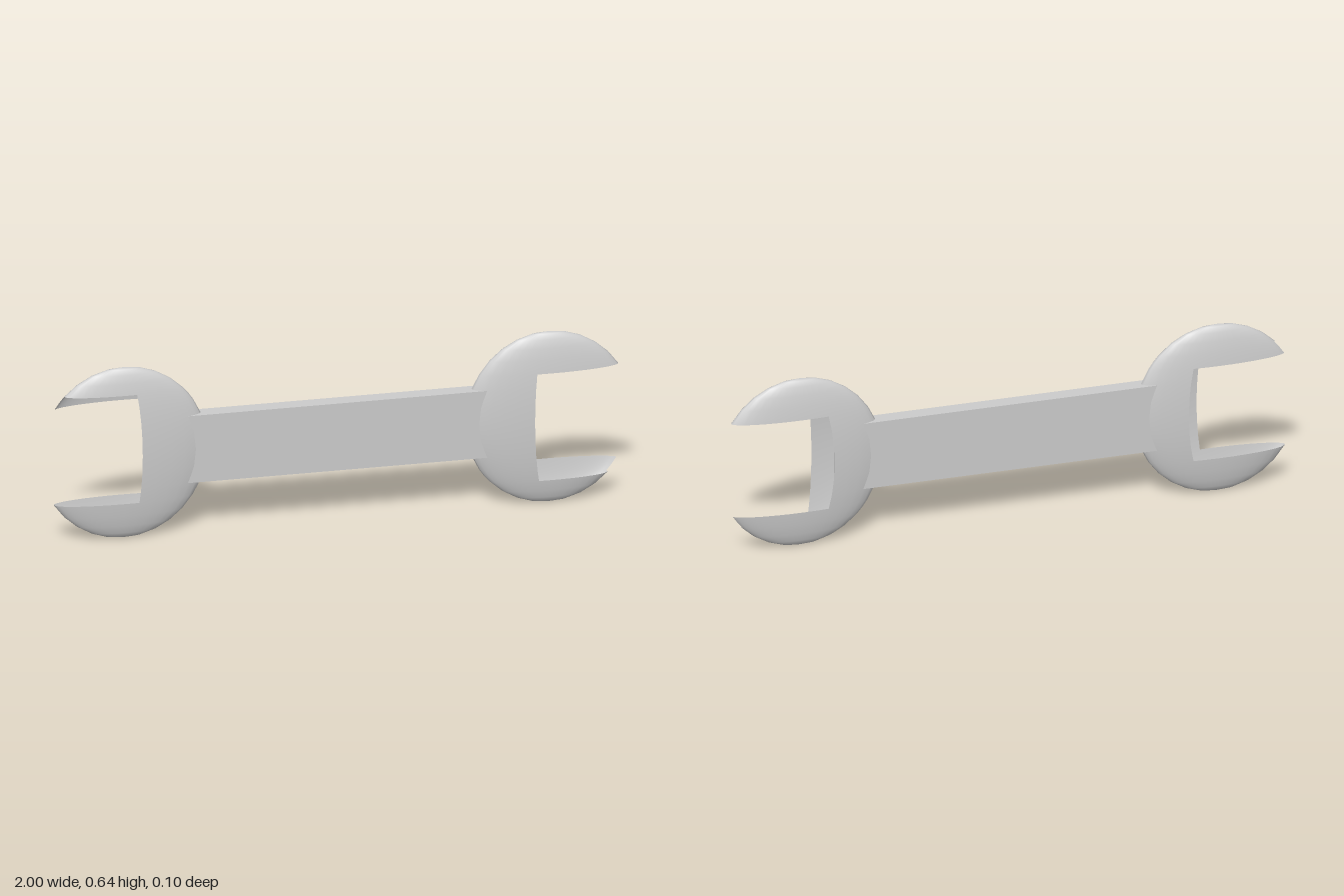
import * as THREE from 'three';
import { mergeGeometries } from 'three/addons/utils/BufferGeometryUtils.js';

const STEP = Math.PI / 16; // one sphere segment (32 around, 16 pole to pole)
const MID_Y = 0.322;

// Patch of the unit sphere, given in whole segments
function patch(phi, phiCount, theta, thetaCount) {
  return new THREE.SphereGeometry(1, phiCount, thetaCount,
    phi * STEP, phiCount * STEP, theta * STEP, thetaCount * STEP);
}

// Hollow flattened head with its mouth cut open toward +x
function headGeometry() {
  const shell = mergeGeometries([
    patch(0, 32, 0, 5),    // upper jaw
    patch(26, 13, 5, 6),   // throat behind the mouth
    patch(17, 22, 11, 1),  // lower jaw lip, notched at the front
    patch(0, 32, 12, 4),   // lower jaw
  ]);
  return shell.scale(0.297, 0.322, 0.051);
}

export function createModel() {
  const model = new THREE.Group();
  model.name = 'openEndWrench';
  const metal = new THREE.MeshStandardMaterial({ color: 0xcccccc, side: THREE.DoubleSide });

  // Flat bar running into both heads
  const handle = new THREE.Mesh(new THREE.BoxGeometry(1.24, 0.253, 0.054), metal);
  handle.name = 'handle';
  handle.position.y = MID_Y;
  model.add(handle);

  // Two heads, one turned half round about z
  const geometry = headGeometry();
  for (const side of [1, -1]) {
    const head = new THREE.Mesh(geometry, metal);
    head.name = side > 0 ? 'leftHead' : 'rightHead';
    head.position.set(side * 0.753, MID_Y, 0);
    head.rotation.z = side > 0 ? 0 : Math.PI;
    model.add(head);
  }
  return model;
}
